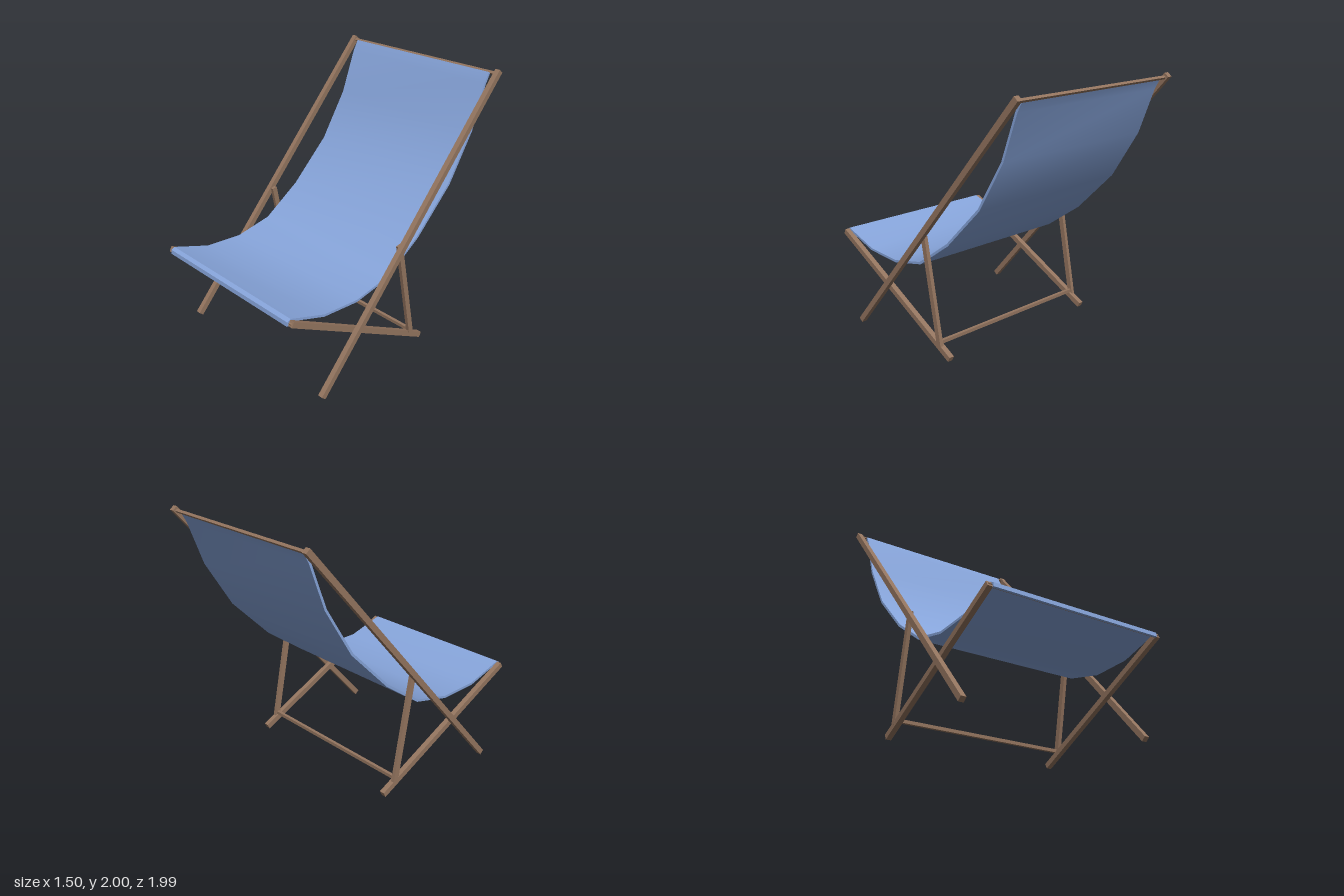
import * as THREE from 'three';
import { toCreasedNormals } from 'three/addons/utils/BufferGeometryUtils.js';

const wood = new THREE.MeshStandardMaterial({ color: 0x94755f });
const cloth = new THREE.MeshStandardMaterial({ color: 0x87a5db });

// Square-cut beam in the plane x = const, between two [z, y] end points
function beam(name, x, a, b, width, thickness) {
  const dz = b[0] - a[0], dy = b[1] - a[1];
  const mesh = new THREE.Mesh(new THREE.BoxGeometry(width, thickness, Math.hypot(dz, dy)), wood);
  mesh.position.set(x, (a[1] + b[1]) / 2, (a[0] + b[0]) / 2);
  mesh.rotation.x = -Math.atan2(dy, dz);
  mesh.name = name;
  return mesh;
}

// Horizontal bar running from side to side
function crossBar(name, z, y, length, size, tilt = 0) {
  const mesh = new THREE.Mesh(new THREE.BoxGeometry(length, size, size), wood);
  mesh.position.set(0, y, z);
  mesh.rotation.x = tilt;
  mesh.name = name;
  return mesh;
}

// Sling of constant thickness following a [z, y] centre line
function sling(path, thickness, width) {
  const pts = path.map(([z, y]) => new THREE.Vector2(z, y));
  const side = (s) => pts.map((p, i) => {
    const before = pts[Math.max(i - 1, 0)], after = pts[Math.min(i + 1, pts.length - 1)];
    const t = after.clone().sub(before).normalize();
    return new THREE.Vector2(p.x - t.y * s, p.y + t.x * s);
  });
  const outline = [...side(thickness / 2), ...side(-thickness / 2).reverse()];
  let geo = new THREE.ExtrudeGeometry(new THREE.Shape(outline), { depth: width, bevelEnabled: false });
  geo.translate(0, 0, -width / 2);
  geo.rotateY(-Math.PI / 2);
  geo = toCreasedNormals(geo, 0.6);
  const mesh = new THREE.Mesh(geo, cloth);
  mesh.name = 'fabricSling';
  return mesh;
}

export function createModel() {
  const group = new THREE.Group();
  group.name = 'deckChair';

  // Mirrored side frames
  for (const s of [1, -1]) {
    const side = s > 0 ? 'left' : 'right';
    group.add(
      beam(side + 'BackRail', s * 0.73, [0.75, 0.014], [-0.977, 1.986], 0.04, 0.042),
      beam(side + 'SeatRail', s * 0.69, [0.976, 0.69], [-0.285, 0.045], 0.04, 0.042),
      beam(side + 'Strut', s * 0.698, [-0.023, 0.9], [-0.178, 0.105], 0.028, 0.042)
    );
  }

  // Bars joining the sides
  group.add(
    crossBar('topBar', -0.96, 1.967, 1.44, 0.02, 0.85),
    crossBar('frontBar', 0.968, 0.685, 1.4, 0.022, 0.47),
    crossBar('rearBar', -0.172, 0.138, 1.42, 0.025)
  );

  // Hanging fabric, with a lip folded over the front bar
  group.add(sling([
    [0.987, 0.668], [0.984, 0.695], [0.965, 0.705], [0.67, 0.612], [0.365, 0.598], [0.065, 0.666],
    [-0.243, 0.883], [-0.565, 1.205], [-0.785, 1.562], [-0.905, 1.89], [-0.948, 1.968],
  ], 0.018, 1.345));

  return group;
}
